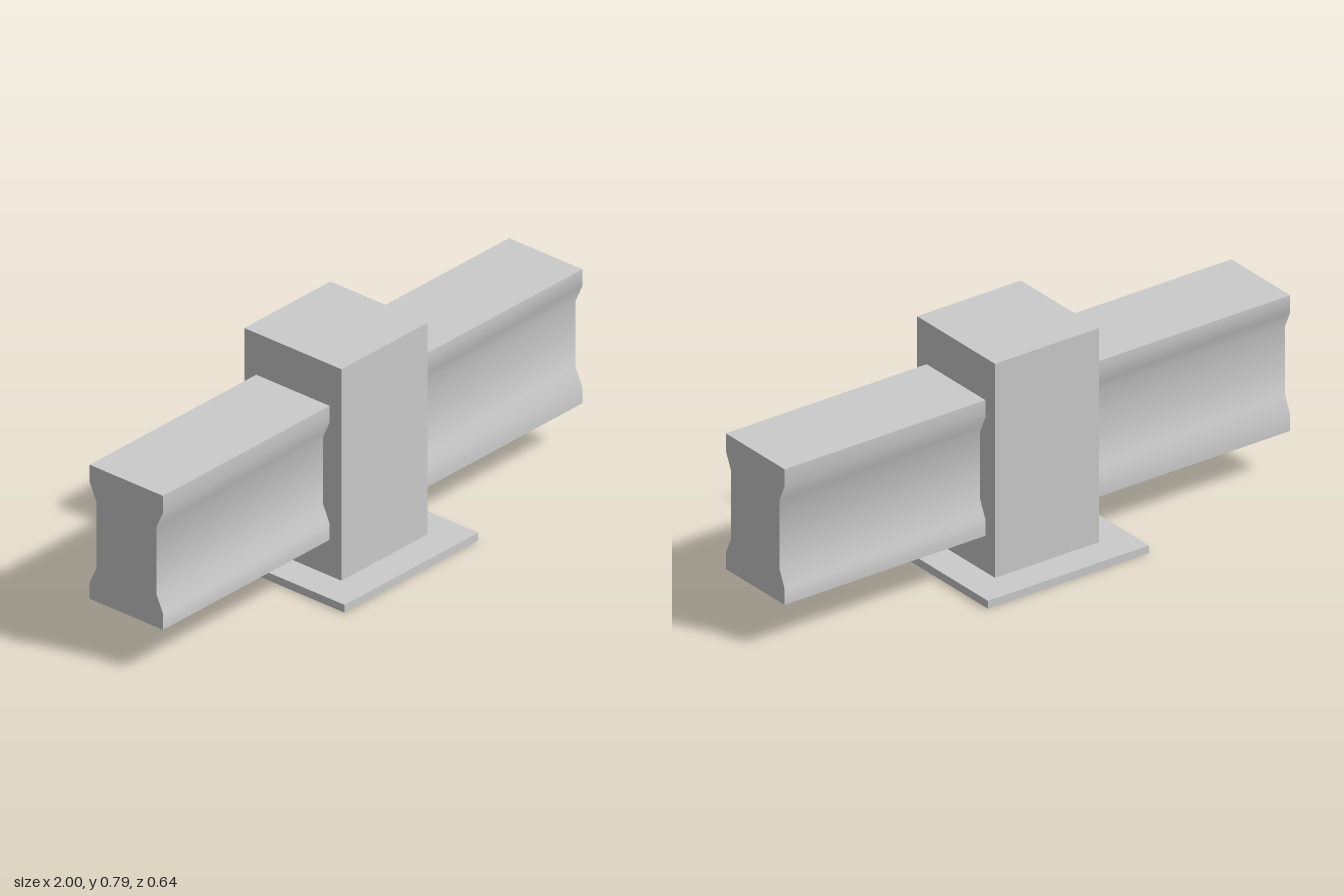
import * as THREE from 'three';
import { toCreasedNormals } from 'three/addons/utils/BufferGeometryUtils.js';

const material = new THREE.MeshStandardMaterial({ color: 0xcccccc });

function addPart(group, name, geometry, y = 0) {
  const mesh = new THREE.Mesh(geometry, material);
  mesh.name = name;
  mesh.position.y = y;
  group.add(mesh);
}

export function createModel() {
  const group = new THREE.Group();
  group.name = 'postAndRail';

  // Square base plate and the post standing on it
  const plateHeight = 0.028, postTop = 0.79;
  addPart(group, 'basePlate', new THREE.BoxGeometry(0.637, plateHeight, 0.637), plateHeight / 2);
  addPart(group, 'post', new THREE.BoxGeometry(0.411, postTop - plateHeight, 0.411), (postTop + plateHeight) / 2);

  // Waisted rail running through the post: [half width, height] up one side, mirrored for the other
  const side = [[0.155, 0.157], [0.155, 0.215], [0.127, 0.277], [0.127, 0.517], [0.155, 0.579], [0.155, 0.64]];
  const outline = [...side, ...side.map(([w, y]) => [-w, y]).reverse()];
  const section = new THREE.Shape(outline.map(([w, y]) => new THREE.Vector2(w, y)));
  const rail = new THREE.ExtrudeGeometry(section, { depth: 2, bevelEnabled: false });
  rail.translate(0, 0, -1).rotateY(Math.PI / 2);
  addPart(group, 'rail', toCreasedNormals(rail, Math.PI / 5));

  return group;
}
